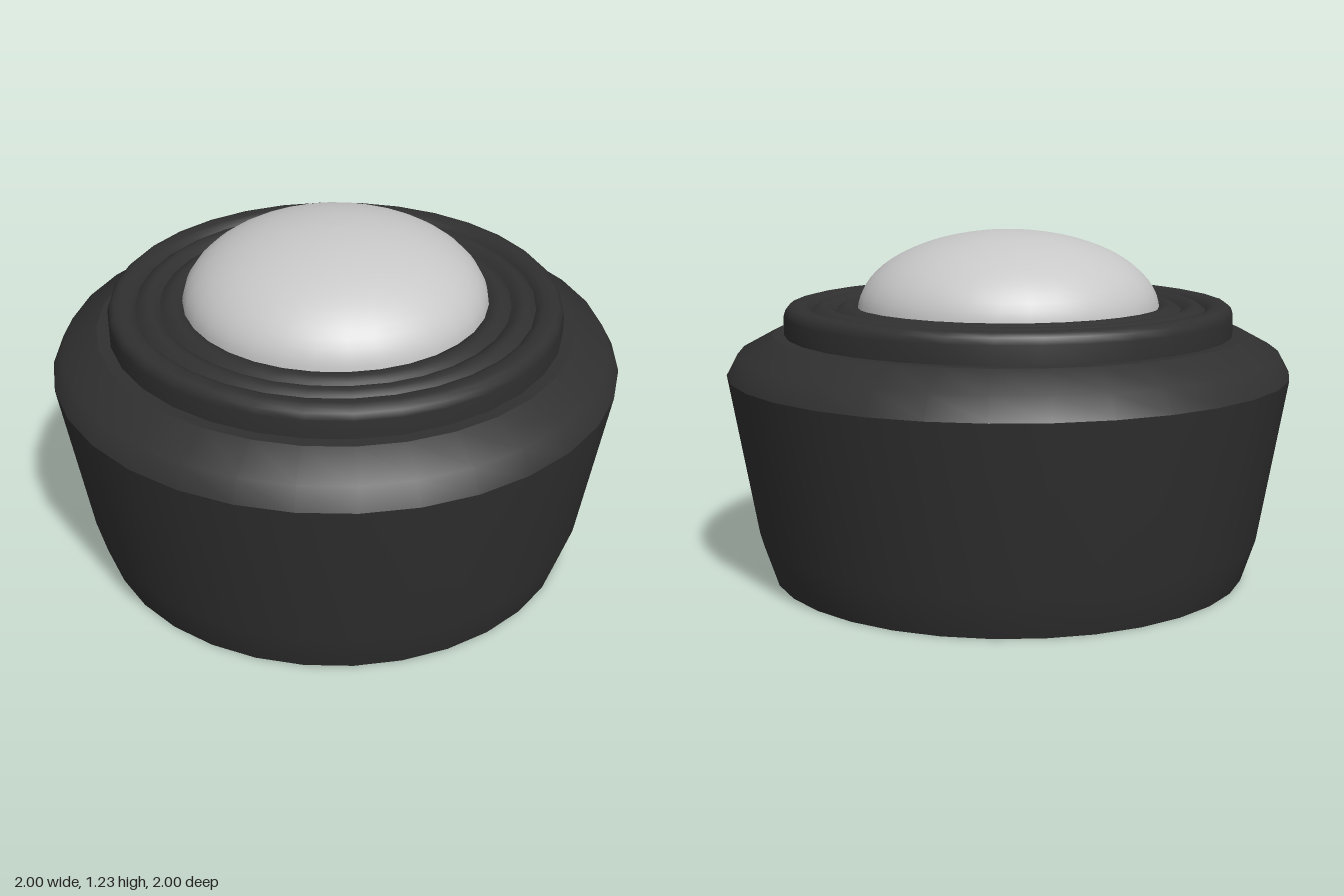
import * as THREE from 'three';

const SIDES = 32;

export function createModel() {
  const group = new THREE.Group();
  const casing = new THREE.MeshStandardMaterial({ color: 0x303030 });
  casing.name = 'charcoal casing';
  const pale = new THREE.MeshStandardMaterial({ color: 0xc8c8c8 });
  pale.name = 'pale grey dome';

  // Turned part; profile runs bottom to top on the outside
  const turn = (name, points, material) => {
    const profile = points.map(([r, y]) => new THREE.Vector2(r, y));
    const mesh = new THREE.Mesh(new THREE.LatheGeometry(profile, SIDES), material);
    mesh.name = name;
    group.add(mesh);
  };

  // Body: separate bands keep the edges between them sharp
  turn('base', [[0, 0], [0.85, 0]], casing);
  turn('bodyWall', [[0.85, 0], [0.9, 0.15], [1, 0.725]], casing);
  turn('shoulder', [[1, 0.725], [0.96, 0.8], [0.84, 0.865]], casing);
  turn('ledge', [[0.84, 0.865], [0.78, 0.865]], casing);

  // Raised collar with a rounded rim
  turn('collar', [
    [0.797, 0.86], [0.797, 0.93], [0.79, 0.953], [0.776, 0.966], [0.755, 0.971],
    [0.73, 0.968], [0.712, 0.961], [0.7, 0.947],
  ], casing);

  // Two rounded ridges inside the collar, meeting in narrow grooves
  for (const [outer, inner] of [[0.7, 0.615], [0.615, 0.525]]) {
    const ridge = [];
    for (let i = 0; i <= 8; i++) {
      const t = i / 8;
      ridge.push([outer + (inner - outer) * t, 0.947 + 0.021 * Math.sin(Math.PI * t)]);
    }
    turn('ridge', ridge, casing);
  }

  // Flattened dome
  const dome = [];
  for (let i = 0; i <= 16; i++) {
    const a = (i / 16) * Math.PI / 2;
    dome.push([i === 16 ? 0 : 0.537 * Math.cos(a), 0.943 + 0.282 * Math.sin(a)]);
  }
  turn('dome', dome, pale);

  return group;
}
